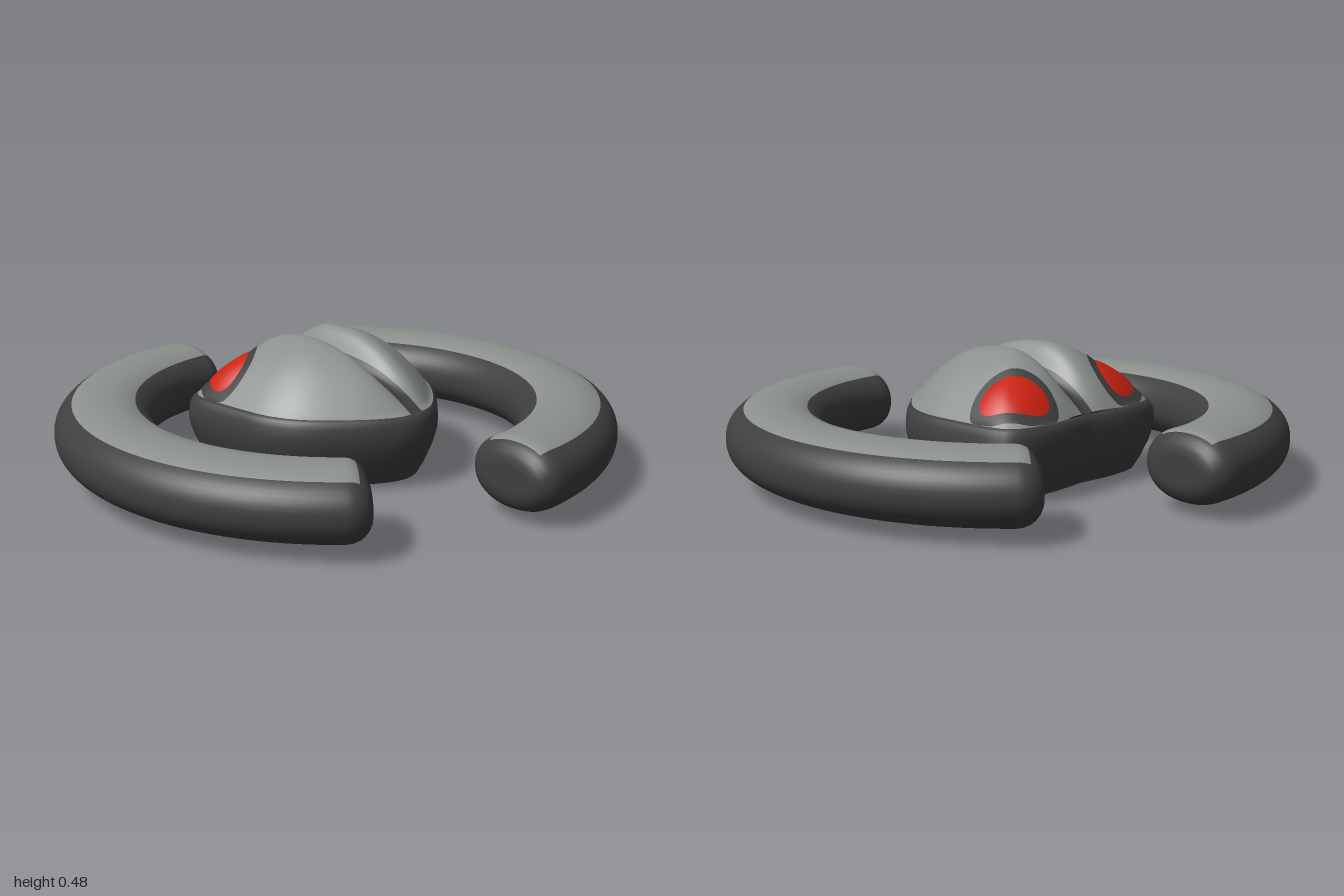
import * as THREE from 'three';
import { mergeVertices } from 'three/addons/utils/BufferGeometryUtils.js';

// Smooth surface from a grid of points; du x dv points outward. pick(i, j) chooses the material of a cell.
function surface(fn, nu, nv, pick = () => 0) {
  const pos = [], cells = [[], []];
  for (let i = 0; i <= nu; i++) for (let j = 0; j <= nv; j++) pos.push(...fn(i / nu, j / nv));
  for (let i = 0; i < nu; i++) for (let j = 0; j < nv; j++) {
    const a = i * (nv + 1) + j, b = a + nv + 1;
    cells[pick(i, j)].push(a, b, b + 1, a, b + 1, a + 1);
  }
  let g = new THREE.BufferGeometry();
  g.setAttribute('position', new THREE.Float32BufferAttribute(pos, 3));
  g.setIndex([...cells[0], ...cells[1]]);
  g.addGroup(0, cells[0].length, 0);
  g.addGroup(cells[0].length, cells[1].length, 1);
  g = mergeVertices(g, 1e-5);
  g.computeVertexNormals();
  return g;
}

// Half outline of the body in plan, from front tip to middle of the back (x, z)
const CZ = -0.05, RIM = 0.93, BASE = 0.27;
const outline = new THREE.SplineCurve([
  [0, 0.41], [0.08, 0.39], [0.2, 0.31], [0.34, 0.17], [0.4, 0.04], [0.412, -0.1],
  [0.408, -0.3], [0.375, -0.37], [0.3, -0.4], [0.16, -0.41], [0, -0.395],
].map(([x, z]) => new THREE.Vector2(x, z))).getPoints(150)
  .map(p => ({ a: Math.atan2(Math.abs(p.x), p.y - CZ), r: Math.hypot(p.x, p.y - CZ) }));

function radius(angle) {
  const a = Math.abs(Math.atan2(Math.sin(angle), Math.cos(angle)));
  for (let i = 1; i < outline.length; i++) {
    const p = outline[i - 1], q = outline[i];
    if (a <= q.a) return p.r + (q.r - p.r) * Math.max(0, (a - p.a) / (q.a - p.a || 1));
  }
  return outline[outline.length - 1].r;
}

// Height of the two-lobed shell, with its centre groove and shallow eye hollows
function height(x, z) {
  const t = Math.min(1, Math.hypot(x, z - CZ) / (RIM * radius(Math.atan2(x, z - CZ))));
  const dome = 0.222 * (1 - t ** 2.3);
  const groove = 1 - 0.5 * Math.exp(-((x / 0.05) ** 2));
  const hollow = 1 - 0.25 * Math.exp(-((Math.abs(x) - 0.26) ** 2 + (z + 0.29) ** 2) / 0.008);
  return BASE + dome * groove * hollow;
}

// Rows along a ring wing: [distance from the end, inset of the section]
const CAP = 0.075, WR = 0.825, W = 0.175, H = 0.125;
function wingRows() {
  const a0 = -50 * Math.PI / 180, a1 = 95.5 * Math.PI / 180, cap = [];
  cap.push({ d: 0, s: 0 }, { d: 0, s: 0.9, inset: CAP });
  for (let j = 0; j <= 6; j++) {
    const q = j * Math.PI / 12;
    cap.push({ d: CAP * (1 - Math.cos(q)), s: 1, inset: CAP * (1 - Math.sin(q)) });
  }
  const row = (c, a) => ({ a, w: c.s * (W - (c.inset || 0)), h: c.s * (H - (c.inset || 0)) });
  const start = cap.map(c => row(c, a0 + c.d / WR));
  const end = cap.map(c => row(c, a1 - c.d / WR)).reverse();
  const from = start[start.length - 1].a, to = end[0].a, mid = [];
  for (let i = 1; i < 56; i++) mid.push({ a: from + (to - from) * i / 56, w: W, h: H });
  return [...start, ...mid, ...end];
}

export function createModel() {
  const mat = (name, color) => Object.assign(new THREE.MeshStandardMaterial({ color }), { name });
  const dark = mat('charcoal', 0x3f3f3f);
  const grey = mat('grey', 0x8b908c);
  const red = mat('red', 0xcc2211);
  const model = new THREE.Group();
  const add = (name, geometry, material) => {
    const m = new THREE.Mesh(geometry, material);
    m.name = name;
    model.add(m);
    return m;
  };

  // Two curved wings, one the half turn of the other, with a light band on top
  const rows = wingRows(), last = rows.length - 1;
  const round = v => Math.sign(v) * Math.abs(v) ** 0.92;
  const wing = surface((u, v) => {
    const p = u * Math.PI * 2, k = rows[Math.round(v * last)];
    const r = WR + k.w * round(Math.cos(p));
    return [r * Math.cos(k.a), 0.165 + k.h * round(Math.sin(p)), r * Math.sin(k.a)];
  }, 48, last, (i, j) => (i >= 7 && i < 17 && j >= 6 && j < last - 6 ? 1 : 0));
  add('leftWing', wing, [dark, grey]);
  add('rightWing', wing, [dark, grey]).rotation.y = Math.PI;

  // Lower hull: rings of the outline (scale, height), and its flat underside
  const rings = [[0.85, 0.022], [0.9, 0.06], [0.96, 0.12], [0.995, 0.17], [1, 0.205],
    [0.99, 0.24], [0.965, 0.262], [RIM, BASE], [0.89, 0.265]];
  const ringPoint = (a, s, y) => {
    const r = radius(a) * s;
    return [r * Math.sin(a), y, CZ + r * Math.cos(a)];
  };
  add('hull', surface((u, v) => ringPoint(u * Math.PI * 2, ...rings[Math.round(v * 8)]), 96, 8), dark);
  add('underside', surface((u, v) => ringPoint(u * Math.PI * 2, v * 0.85, 0.005 + 0.017 * v * v), 96, 6), dark);

  // Groove strip along the middle of the shell
  const G = 0.028;
  const zFront = CZ + RIM * radius(0), zBack = CZ - RIM * radius(Math.PI);
  add('grooveStrip', surface((u, v) => {
    const x = (v * 2 - 1) * G, z = zBack + (zFront - zBack) * u;
    return [x, height(x, z), z];
  }, 48, 8), dark);

  for (const s of [1, -1]) {
    const side = s > 0 ? 'left' : 'right';
    const turn = v => (s > 0 ? v : 1 - v);

    // Shell lobe beside the groove
    add(side + 'ShellLobe', surface((u, v) => {
      const a = turn(v) * Math.PI, r = radius(a) * RIM * u;
      const x = G + r * Math.sin(a) * (1 - G / 0.383), z = CZ + r * Math.cos(a);
      return [s * x, height(x, z), z];
    }, 32, 64), grey);

    // Slanted oval laid over the shell
    const oval = (long, short, lift, bulge) => surface((u, v) => {
      const a = turn(v) * Math.PI * 2;
      const p = long * u * Math.cos(a), q = short * u * Math.sin(a);
      const x = 0.262 + p * 0.78 + q * 0.62, z = -0.275 + p * 0.62 - q * 0.78;
      return [s * x, height(x, z) + lift + bulge * (1 - u * u), z];
    }, 12, 40);
    add(side + 'EyeSocket', oval(0.15, 0.1, 0.004, 0), dark);
    add(side + 'Eye', oval(0.118, 0.07, 0.007, 0.018), red);
  }
  return model;
}
